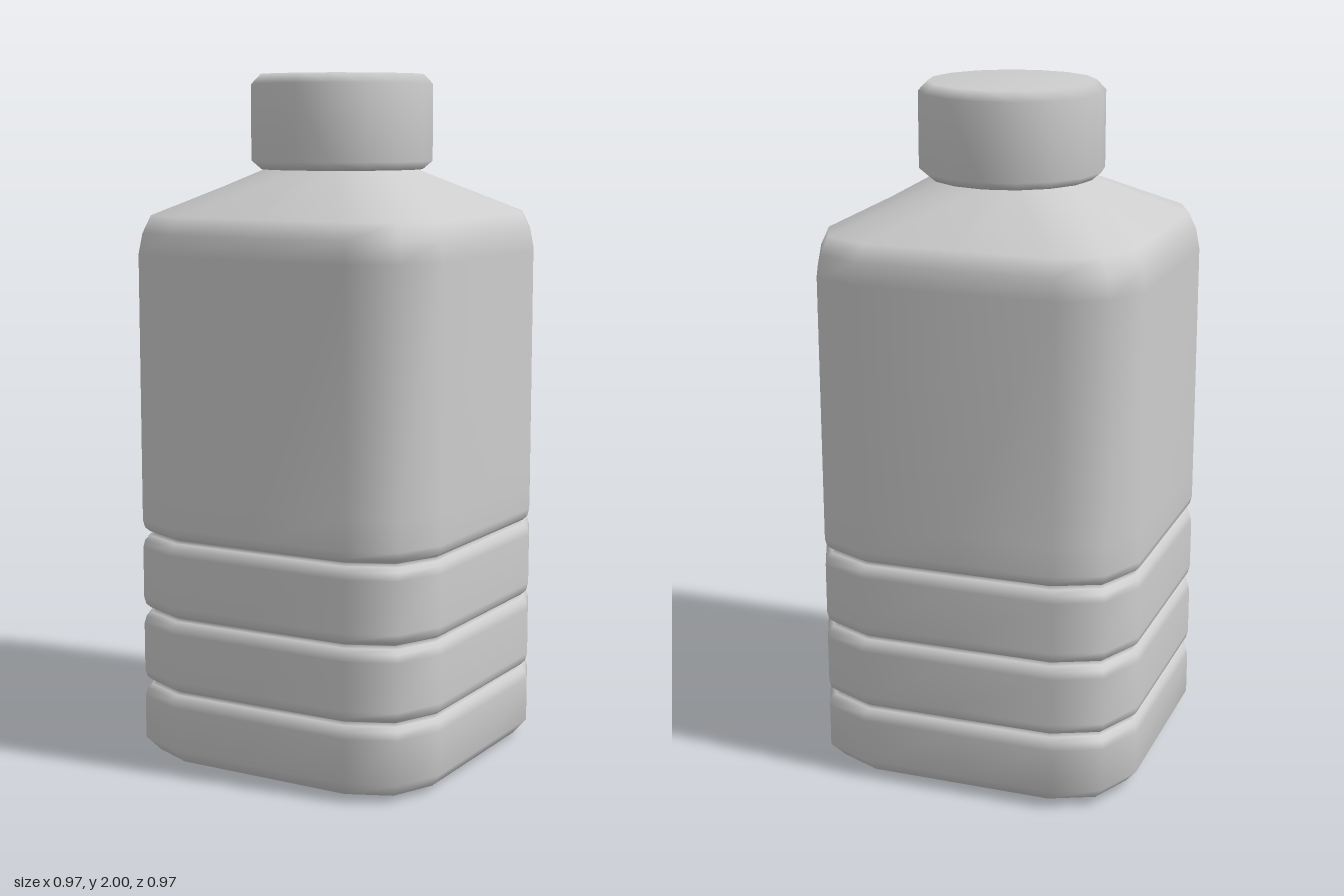
import * as THREE from 'three';

const SIDES = 16;

// One quarter of the rounded-square outline (unit half width 0.485), turned four times
const quarter = [[0.485, 0], [0.485, 0.29], [0.425, 0.425], [0.29, 0.485]];
const outline = [];
for (let q = 0; q < 4; q++) {
  for (const [x, z] of quarter) {
    outline.push([[x, z], [-z, x], [-x, -z], [z, -x]][q]);
  }
}

// Body rings: [height, half width, blend from square (0) to round (1)]
function bodyRings() {
  const rings = [[0, 0.415, 0], [0.012, 0.45, 0], [0.055, 0.485, 0]];
  // three grooves between the ribs
  for (const y of [0.223, 0.443, 0.673]) {
    rings.push(
      [y - 0.04, 0.485, 0], [y - 0.018, 0.48, 0], [y - 0.006, 0.468, 0],
      [y, 0.455, 0],
      [y + 0.006, 0.468, 0], [y + 0.018, 0.48, 0], [y + 0.04, 0.485, 0],
    );
  }
  // tall wall, shoulder and neck
  rings.push([0.8, 0.485, 0], [1.49, 0.485, 0], [1.55, 0.475, 0], [1.6, 0.455, 0],
    [1.73, 0.22, 1], [1.78, 0.22, 1]);
  return rings;
}

function loft(rings) {
  const pos = [];
  const index = [];
  for (const [y, r, round] of rings) {
    outline.forEach(([x, z], i) => {
      const a = (i / SIDES) * Math.PI * 2;
      const s = r / 0.485;
      pos.push(
        THREE.MathUtils.lerp(x * s, Math.cos(a) * r, round), y,
        THREE.MathUtils.lerp(z * s, Math.sin(a) * r, round),
      );
    });
  }
  for (let k = 0; k < rings.length - 1; k++) {
    for (let i = 0; i < SIDES; i++) {
      const a = k * SIDES + i;
      const b = k * SIDES + (i + 1) % SIDES;
      index.push(a, a + SIDES, b, b, a + SIDES, b + SIDES);
    }
  }
  // closed base
  const centre = pos.length / 3;
  pos.push(0, 0, 0);
  for (let i = 0; i < SIDES; i++) index.push(centre, i, (i + 1) % SIDES);
  const geo = new THREE.BufferGeometry();
  geo.setAttribute('position', new THREE.Float32BufferAttribute(pos, 3));
  geo.setIndex(index);
  geo.computeVertexNormals();
  return geo;
}

export function createModel() {
  const group = new THREE.Group();
  group.name = 'bottle';
  const grey = new THREE.MeshStandardMaterial({ color: 0xcccccc });
  grey.name = 'light grey';

  const body = new THREE.Mesh(loft(bodyRings()), grey);
  body.name = 'body';

  // Screw cap with chamfered rims
  const profile = [[0, 1.728], [0.238, 1.728], [0.267, 1.752], [0.267, 1.972], [0.24, 2], [0, 2]];
  const cap = new THREE.Mesh(
    new THREE.LatheGeometry(profile.map(([x, y]) => new THREE.Vector2(x, y)), SIDES), grey);
  cap.name = 'cap';

  group.add(body, cap);
  return group;
}
